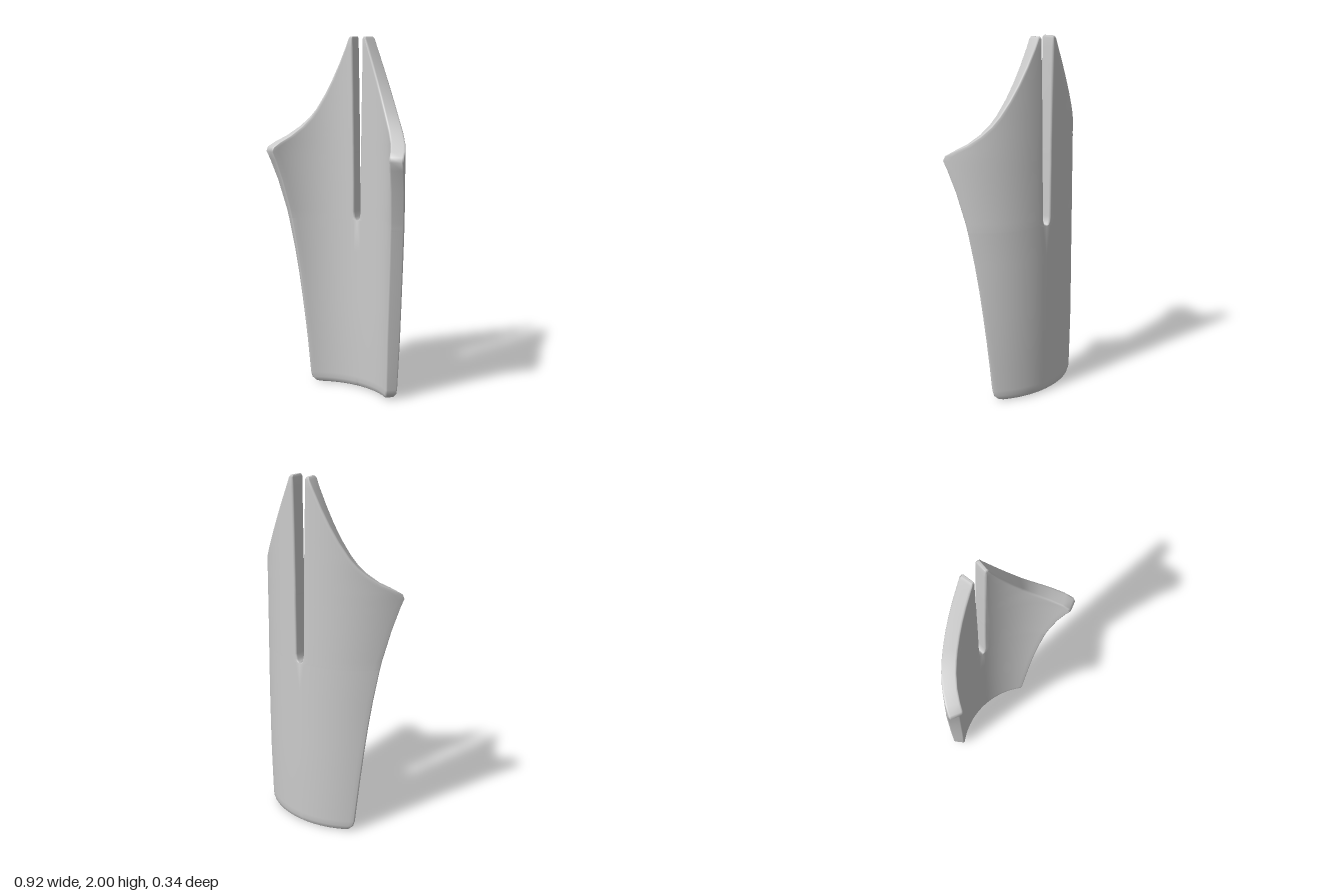
import * as THREE from 'three';
import { mergeVertices } from 'three/addons/utils/BufferGeometryUtils.js';

const R_OUT = 0.502, R_IN = 0.425, CENTRE_Z = 0.325; // the curved shell
const COLUMNS = 16;

// rows from foot to tips: height, half width, half slot, thinning of the wall
const ROWS = [
  [0.000, 0.265, 0, 0.022], [0.008, 0.285, 0, 0.012], [0.030, 0.304, 0, 0.005],
  [0.060, 0.311, 0, 0.004], [0.200, 0.322, 0, 0.002], [0.350, 0.334, 0, 0],
  [0.500, 0.347, 0, 0], [0.650, 0.361, 0, 0], [0.800, 0.377, 0, 0],
  [0.980, 0.399, 0, 0], [0.985, 0.400, 0.010, 0], [1.000, 0.402, 0.019, 0],
  [1.030, 0.406, 0.025, 0], [1.200, 0.434, 0.026, 0], [1.320, 0.456, 0.028, 0],
  [1.365, 0.465, 0.028, 0], [1.390, 0.461, 0.028, 0], [1.415, 0.442, 0.029, 0],
  [1.450, 0.402, 0.029, 0], [1.500, 0.352, 0.030, 0], [1.550, 0.309, 0.031, 0],
  [1.600, 0.274, 0.032, 0], [1.680, 0.226, 0.033, 0], [1.760, 0.182, 0.035, 0],
  [1.850, 0.136, 0.037, 0], [1.940, 0.092, 0.039, 0], [1.988, 0.069, 0.041, 0],
  [2.000, 0.061, 0.044, 0.008],
];

// closed loop around one half: outer wall going out, inner wall coming back
function crossSection([y, width, slot, thin]) {
  const a0 = Math.asin(slot / R_OUT), a1 = Math.asin(width / R_OUT);
  const bevel = Math.min(0.02, (a1 - a0) / 4), slotBevel = Math.min(bevel, a0);
  const line = [];
  for (let i = 0; i <= COLUMNS; i++) {
    const a = THREE.MathUtils.lerp(a0 + slotBevel, a1 - bevel, i / COLUMNS);
    line.push([a, 0]);
  }
  // rounded rims at the slot and at the outer edge
  line.unshift([a0, slotBevel * 0.5], [a0 + slotBevel * 0.3, slotBevel * 0.15]);
  line.push([a1 - bevel * 0.3, bevel * 0.15], [a1, bevel * 0.5]);
  const at = (a, r) => [r * Math.sin(a), y, CENTRE_Z - r * Math.cos(a)];
  return [
    ...line.map(([a, d]) => at(a, R_OUT - thin - d)),
    ...line.reverse().map(([a, d]) => at(a, R_IN + thin + d)),
  ];
}

function shellGeometry() {
  const positions = [], index = [];
  for (const side of [1, -1]) {
    const base = positions.length / 3;
    const loops = ROWS.map(crossSection);
    const n = loops[0].length, last = ROWS.length - 1;
    loops.flat().forEach(([x, y, z]) => positions.push(side * x, y, z));
    const id = (row, i) => base + row * n + (i % n);
    const quad = (a, b, c, d) =>
      side > 0 ? index.push(a, b, c, a, c, d) : index.push(a, c, b, a, d, c);

    // walls; the halves join on the centre line where there is no slot
    for (let j = 0; j < last; j++) {
      const open = ROWS[j + 1][2] > 0;
      for (let i = 0; i < n; i++) {
        if (i === n - 1 && !open) continue;
        quad(id(j, i), id(j + 1, i), id(j + 1, i + 1), id(j, i + 1));
      }
    }
    // foot and tip caps
    for (let i = 0; i < n / 2 - 1; i++) {
      const k = n - 1 - i;
      quad(id(0, i), id(0, i + 1), id(0, k - 1), id(0, k));
      quad(id(last, i), id(last, k), id(last, k - 1), id(last, i + 1));
    }
  }
  const geometry = new THREE.BufferGeometry();
  geometry.setAttribute('position', new THREE.Float32BufferAttribute(positions, 3));
  geometry.setIndex(index);
  const welded = mergeVertices(geometry, 1e-5);
  welded.computeVertexNormals();
  return welded;
}

export function createModel() {
  const model = new THREE.Group();
  model.name = 'splitCurvedBlade';
  const material = new THREE.MeshStandardMaterial({ color: 0xcccccc });
  const shell = new THREE.Mesh(shellGeometry(), material);
  shell.name = 'bladeShell';
  model.add(shell);
  return model;
}
